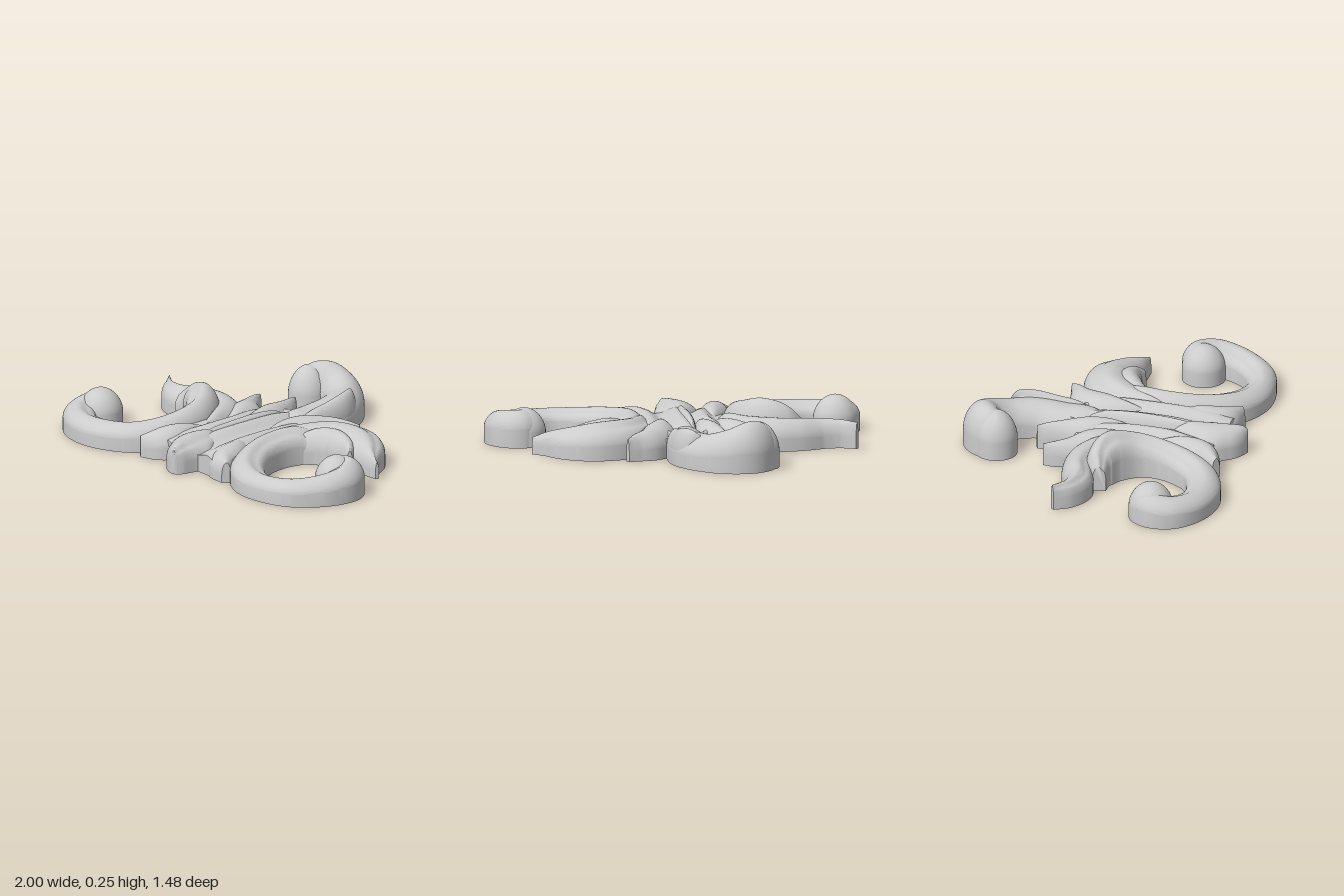
import * as THREE from 'three';
import { toCreasedNormals } from 'three/addons/utils/BufferGeometryUtils.js';

const material = new THREE.MeshStandardMaterial({ color: 0xcccccc, side: THREE.DoubleSide });

const bump = (u, c, s) => Math.exp(-(((u - c) / s) ** 2));
const dome = (u) => Math.pow(Math.max(0, 1 - u * u), 0.6);
// Cross-section tops: height fraction across the width, u = -1..1
const rounded = (u) => 0.4 + 0.6 * dome(u);
const scrolled = (side) => (u) => 0.5 + 0.5 * dome(u) - 0.08 * bump(u, side * 0.4, 0.3);
const leafy = (u) => 0.42 + 0.58 * dome(u) - 0.07 * bump(u, 0.45, 0.2);
const fluted = (u) => 0.8 + 0.09 * Math.cos(u * Math.PI * 4) + 0.09 * bump(u, -0.1, 0.1) - 0.25 * u ** 8;

// Flat-bottomed strip swept through stations [x, z, halfWidth, height]; round = taper the last end
function strip(name, stations, top, { round = false, steps = 14, across = 28 } = {}) {
  const path = new THREE.CatmullRomCurve3(stations.map(([x, z]) => new THREE.Vector3(x, 0, z)), false, 'catmullrom');
  const size = new THREE.CatmullRomCurve3(stations.map(([, , w, h]) => new THREE.Vector3(w, h, 0)), false, 'catmullrom');
  const n = (stations.length - 1) * steps, ring = across + 3;
  const last = path.getPoint(1), edge = top(-1), pos = [], index = [];
  for (let i = 0; i <= n; i++) {
    const t = i / n, c = path.getPoint(t), d = path.getTangent(t), s = size.getPoint(t);
    let f = 1;
    if (round && t > 0.6) {
      const gap = Math.min(1, c.distanceTo(last) / s.x);
      f = Math.max(0.03, Math.sqrt(1 - (1 - gap) ** 2));
    }
    const put = (u, y) => pos.push(c.x + d.z * u * s.x * f, y, c.z - d.x * u * s.x * f);
    put(-1, 0);
    for (let j = 0; j <= across; j++) {
      const u = -Math.cos((j / across) * Math.PI);
      put(u, s.y * (edge + (top(u) - edge) * f));
    }
    put(1, 0);
  }
  for (let i = 0; i < n; i++) {
    for (let j = 0; j < ring; j++) {
      const k = (j + 1) % ring, a = i * ring, b = a + ring;
      index.push(a + j, b + j, a + k, b + j, b + k, a + k);
    }
  }
  const e = n * ring;
  for (let j = 1; j < ring - 1; j++) index.push(0, j, j + 1, e, e + j + 1, e + j);
  const g = new THREE.BufferGeometry();
  g.setAttribute('position', new THREE.Float32BufferAttribute(pos, 3));
  g.setIndex(index);
  const mesh = new THREE.Mesh(toCreasedNormals(g, 0.9), material);
  mesh.name = name;
  return mesh;
}

// Domed knob closing a scroll
function knob(name, x, z, r, h) {
  const pts = [new THREE.Vector2(0, 0), new THREE.Vector2(r, 0)];
  for (let i = 0; i <= 14; i++) {
    const u = Math.cos((i / 14) * Math.PI / 2);
    pts.push(new THREE.Vector2(r * u, h * rounded(u)));
  }
  const mesh = new THREE.Mesh(toCreasedNormals(new THREE.LatheGeometry(pts, 40), 0.9), material);
  mesh.position.set(x, 0, z);
  mesh.name = name;
  return mesh;
}

export function createModel() {
  const model = new THREE.Group();
  model.name = 'carvedOrnament';

  // Fluted central body with a narrow waist
  model.add(strip('body', [
    [0.02, -0.22, 0.12, 0.14], [0.02, -0.12, 0.24, 0.155], [0.02, 0.0, 0.31, 0.17], [0.02, 0.15, 0.29, 0.175],
    [0.01, 0.35, 0.29, 0.17], [-0.01, 0.5, 0.32, 0.15], [-0.02, 0.6, 0.33, 0.12],
  ], fluted, { across: 72 }));

  // Right-hand side scroll (-x), from the inner leaf round to the curl
  model.add(strip('rightScroll', [
    [-0.62, 0.08, 0.035, 0.14], [-0.53, 0.06, 0.07, 0.22], [-0.42, 0.10, 0.09, 0.25], [-0.345, 0.21, 0.085, 0.22],
    [-0.335, 0.34, 0.08, 0.19], [-0.38, 0.48, 0.09, 0.16], [-0.48, 0.59, 0.09, 0.14], [-0.64, 0.64, 0.09, 0.135],
    [-0.79, 0.615, 0.085, 0.135], [-0.89, 0.53, 0.09, 0.145], [-0.905, 0.44, 0.09, 0.165], [-0.86, 0.395, 0.09, 0.185],
    [-0.78, 0.41, 0.07, 0.17],
  ], scrolled(-1), { round: true }));
  model.add(knob('rightScrollKnob', -0.86, 0.412, 0.116, 0.197));

  // Left-hand side scroll (+x)
  model.add(strip('leftScroll', [
    [0.38, -0.02, 0.08, 0.13], [0.29, 0.10, 0.09, 0.18], [0.265, 0.25, 0.085, 0.18], [0.29, 0.4, 0.085, 0.165],
    [0.37, 0.54, 0.09, 0.145], [0.49, 0.63, 0.085, 0.13], [0.63, 0.66, 0.075, 0.125], [0.78, 0.615, 0.085, 0.13],
    [0.88, 0.5, 0.09, 0.15], [0.91, 0.38, 0.09, 0.175], [0.87, 0.3, 0.09, 0.188], [0.81, 0.29, 0.09, 0.19], [0.74, 0.32, 0.06, 0.17],
  ], scrolled(1), { round: true }));
  model.add(knob('leftScrollKnob', 0.805, 0.315, 0.114, 0.195));

  // Tall back scroll, low along the arm and swelling at the curl
  model.add(strip('backScroll', [
    [0.03, -0.02, 0.07, 0.11], [0.03, -0.12, 0.1, 0.15], [0.03, -0.24, 0.115, 0.155], [0.03, -0.4, 0.115, 0.17],
    [-0.025, -0.53, 0.11, 0.18], [-0.11, -0.615, 0.11, 0.215], [-0.2, -0.63, 0.11, 0.25], [-0.265, -0.59, 0.1, 0.252],
    [-0.285, -0.53, 0.09, 0.23], [-0.28, -0.45, 0.08, 0.19],
  ], rounded, { round: true }));
  model.add(knob('backScrollKnob', -0.285, -0.545, 0.11, 0.24));

  // Leaves rise out of the body and run to thin tips
  const leaves = {
    leftLeaf: [[0.2, 0.3, 0.02, 0.11], [0.21, 0.18, 0.06, 0.16], [0.27, 0.03, 0.11, 0.175], [0.37, -0.08, 0.13, 0.185],
      [0.51, -0.115, 0.13, 0.18], [0.63, -0.075, 0.1, 0.155], [0.73, -0.01, 0.045, 0.125], [0.81, 0.025, 0.01, 0.09]],
    leftLeafLobe: [[0.3, 0.14, 0.05, 0.13], [0.37, 0.04, 0.075, 0.175], [0.46, -0.01, 0.08, 0.18], [0.56, 0.0, 0.05, 0.155], [0.62, 0.04, 0.015, 0.11]],
    rightLeaf: [[-0.22, 0.3, 0.02, 0.11], [-0.25, 0.17, 0.06, 0.16], [-0.31, 0.05, 0.1, 0.165], [-0.43, -0.03, 0.1, 0.165],
      [-0.57, -0.045, 0.085, 0.16], [-0.7, -0.015, 0.075, 0.15], [-0.81, -0.04, 0.045, 0.145], [-0.885, -0.11, 0.012, 0.14]],
    backLeafRight: [[-0.17, 0.18, 0.02, 0.11], [-0.2, 0.07, 0.06, 0.15], [-0.25, -0.04, 0.1, 0.16], [-0.32, -0.14, 0.065, 0.14],
      [-0.36, -0.22, 0.035, 0.13], [-0.375, -0.275, 0.01, 0.12]],
    backLeafMiddle: [[-0.09, 0.18, 0.02, 0.11], [-0.09, 0.05, 0.05, 0.155], [-0.11, -0.08, 0.085, 0.165], [-0.14, -0.21, 0.06, 0.15],
      [-0.17, -0.3, 0.035, 0.14], [-0.19, -0.35, 0.01, 0.13]],
    backLeafLeft: [[0.12, 0.2, 0.02, 0.11], [0.125, 0.06, 0.055, 0.16], [0.16, -0.07, 0.1, 0.17], [0.23, -0.185, 0.085, 0.155],
      [0.31, -0.245, 0.045, 0.14], [0.36, -0.285, 0.01, 0.12]],
    scrollLeaf: [[0.08, -0.08, 0.02, 0.11], [0.09, -0.2, 0.05, 0.155], [0.09, -0.3, 0.058, 0.172], [0.085, -0.42, 0.055, 0.195],
      [0.06, -0.5, 0.04, 0.2], [0.02, -0.535, 0.012, 0.175]],
    frontLeaf: [[-0.04, 0.3, 0.02, 0.11], [-0.04, 0.42, 0.08, 0.16], [-0.04, 0.53, 0.125, 0.165],
      [-0.02, 0.63, 0.095, 0.16], [0.005, 0.7, 0.05, 0.15], [0.015, 0.73, 0.015, 0.13]],
    frontLobeRight: [[-0.19, 0.28, 0.02, 0.11], [-0.21, 0.42, 0.07, 0.155], [-0.25, 0.55, 0.085, 0.155], [-0.33, 0.64, 0.025, 0.11]],
    frontLobeLeft: [[0.15, 0.28, 0.02, 0.11], [0.17, 0.42, 0.07, 0.15], [0.21, 0.55, 0.085, 0.14], [0.31, 0.635, 0.025, 0.11]],
  };
  for (const [name, stations] of Object.entries(leaves)) {
    model.add(strip(name, stations, /Leaf$/.test(name) ? leafy : rounded, { steps: 10, across: 24 }));
  }

  // Raised rib down the middle
  model.add(strip('centreRib', [
    [-0.02, -0.14, 0.012, 0.11], [-0.02, -0.04, 0.03, 0.165], [-0.025, 0.1, 0.045, 0.18],
    [-0.03, 0.28, 0.045, 0.175], [-0.04, 0.42, 0.03, 0.16], [-0.04, 0.5, 0.012, 0.11],
  ], rounded, { across: 20 }));

  return model;
}
